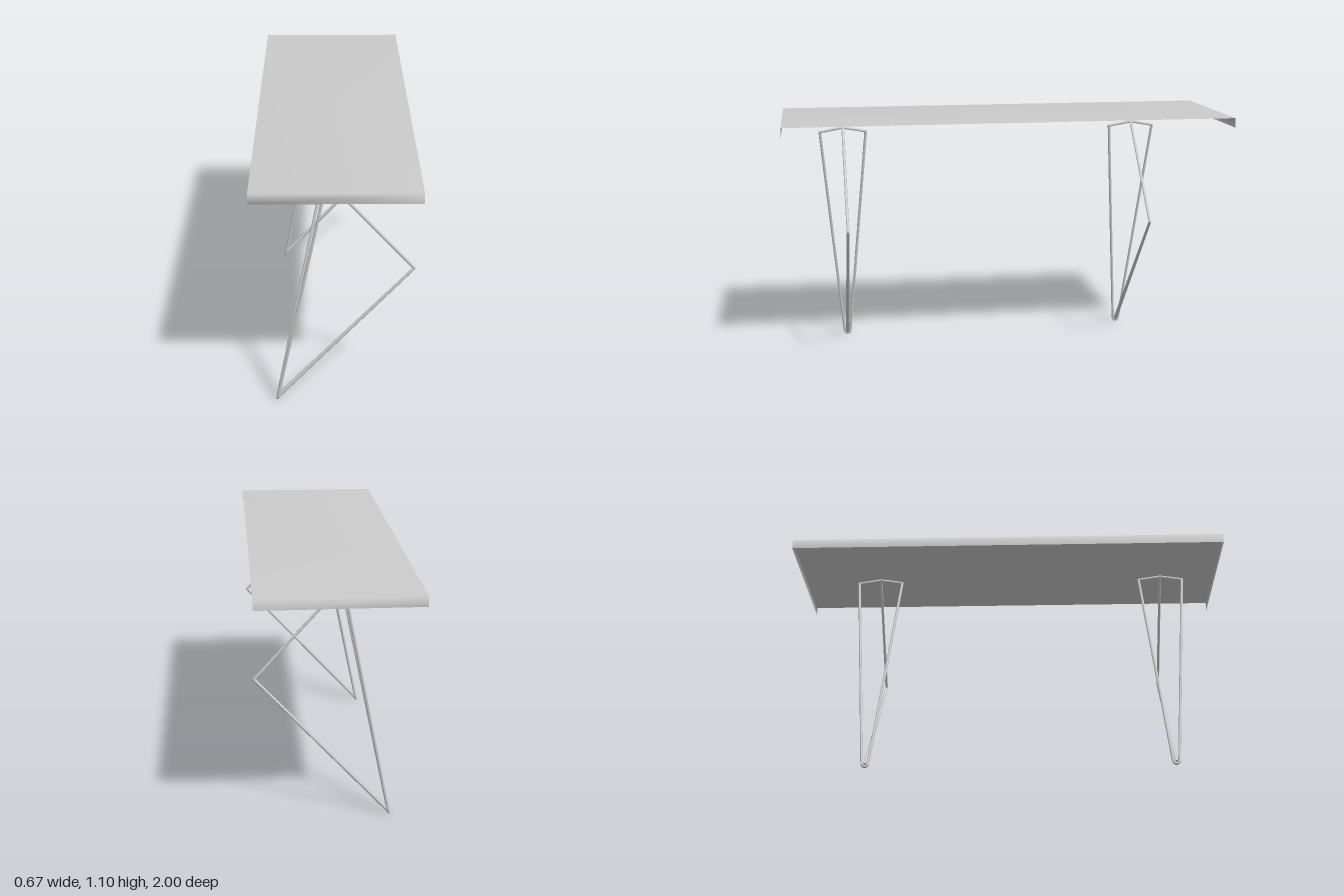
import * as THREE from 'three';

const grey = new THREE.MeshStandardMaterial({ color: 0xcccccc });
const sheetGrey = new THREE.MeshStandardMaterial({ color: 0xcccccc, side: THREE.DoubleSide });
const R = 0.0062; // rod radius

const v = (x, y, z) => new THREE.Vector3(x, y, z);

function add(parent, name, geometry) {
  const mesh = new THREE.Mesh(geometry, grey);
  mesh.name = name;
  parent.add(mesh);
  return mesh;
}

// Straight round rod between two points
function rod(parent, name, a, b, rA = R, rB = R) {
  const mesh = add(parent, name, new THREE.CylinderGeometry(rB, rA, a.distanceTo(b), 10));
  mesh.position.lerpVectors(a, b, 0.5);
  mesh.quaternion.setFromUnitVectors(v(0, 1, 0), b.clone().sub(a).normalize());
}

// Rounded bend where rods meet
function joint(parent, p) {
  add(parent, 'rodBend', new THREE.SphereGeometry(R, 10, 8)).position.copy(p);
}

// Thin folded sheet: flat top with a lip on the two ends and the -x side, open at +x
function createTop() {
  const w = 0.335, d = 1, top = 1.105, low = 1.062;
  const corners = [[w, d], [-w, d], [-w, -d], [w, -d]];
  const positions = [];
  for (const y of [top, low]) for (const [x, z] of corners) positions.push(x, y, z);
  const index = [0, 2, 1, 0, 3, 2];
  for (let i = 0; i < 3; i++) index.push(i, i + 1, i + 5, i, i + 5, i + 4);
  const geometry = new THREE.BufferGeometry();
  geometry.setAttribute('position', new THREE.Float32BufferAttribute(positions, 3));
  geometry.setIndex(index);
  geometry.computeVertexNormals();
  const mesh = new THREE.Mesh(geometry, sheetGrey);
  mesh.name = 'tableTop';
  return mesh;
}

// Bent-wire leg: two splayed uprights, a forward brace and a peaked top bar
function createLeg() {
  const leg = new THREE.Group();
  leg.name = 'leg';
  const foot = v(-0.25, 0.007, 0);
  const peak = v(-0.042, 1.049, 0);
  const knee = v(0.327, 0.643, 0);
  const along = (t, z) => foot.clone().lerp(peak, t).setZ(z); // point in the uprights' plane

  for (const side of [1, -1]) {
    const base = along(0.02, side * 0.014);
    const tip = along(0.982, side * 0.104);
    rod(leg, 'upright', base, tip);
    rod(leg, 'topBar', tip, peak);
    joint(leg, tip);
  }

  // U-shaped foot
  const bend = new THREE.CubicBezierCurve3(
    along(0.02, 0.014), along(-0.0067, 0.013), along(-0.0067, -0.013), along(0.02, -0.014));
  add(leg, 'foot', new THREE.TubeGeometry(bend, 14, R, 10));

  // Brace from the foot out to the knee and back up to the peak
  rod(leg, 'lowerBrace', along(0.008, 0), knee, 0.009, R);
  rod(leg, 'upperBrace', knee, peak);
  joint(leg, knee);
  joint(leg, peak);
  return leg;
}

export function createModel() {
  const model = new THREE.Group();
  model.name = 'table';
  model.add(createTop());
  for (const z of [0.73, -0.62]) {
    const leg = createLeg();
    leg.position.z = z;
    model.add(leg);
  }
  return model;
}
